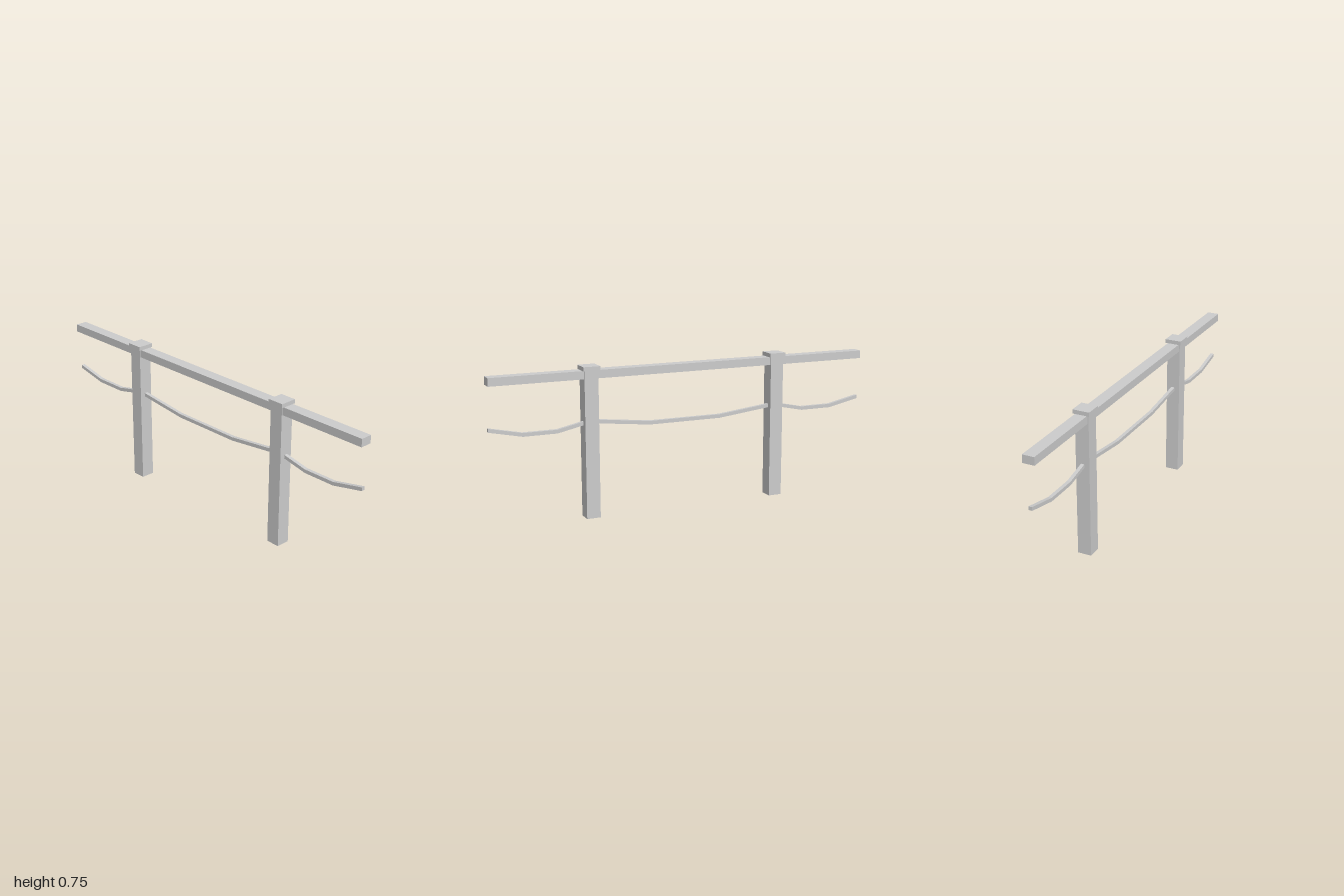
import * as THREE from 'three';

const material = new THREE.MeshStandardMaterial({ color: 0xcccccc, flatShading: true });

function add(parent, name, geometry, x, y, z) {
  const mesh = new THREE.Mesh(geometry, material);
  mesh.name = name;
  mesh.position.set(x, y, z);
  parent.add(mesh);
}

// Square rope hanging between two points, swept as a ribbon outline with depth
function ropeGeometry(from, to, bend) {
  const t = 0.018, high = 0.477, low = 0.442;
  const path = [[from, high], [from + bend, low], [to - bend, low], [to, high]];
  const outline = [
    ...path.map(([x, y]) => new THREE.Vector2(x, y - t / 2)),
    ...path.map(([x, y]) => new THREE.Vector2(x, y + t / 2)).reverse(),
  ];
  return new THREE.ExtrudeGeometry(new THREE.Shape(outline), { depth: t, bevelEnabled: false })
    .translate(0, 0, -t / 2);
}

export function createModel() {
  const fence = new THREE.Group();
  fence.name = 'ropeFence';

  // Square posts with overhanging caps
  for (const x of [-0.5, 0.5]) {
    const side = x > 0 ? 'left' : 'right';
    add(fence, side + 'Post', new THREE.BoxGeometry(0.07, 0.727, 0.07), x, 0.3635, 0);
    add(fence, side + 'PostCap', new THREE.BoxGeometry(0.085, 0.02, 0.085), x, 0.737, 0);
  }

  // Top rail
  add(fence, 'topRail', new THREE.BoxGeometry(2, 0.04, 0.06), 0, 0.707, 0);

  // Sagging ropes: full middle span and a half span on each side
  add(fence, 'middleRope', ropeGeometry(-0.5, 0.5, 0.31), 0, 0, 0);
  add(fence, 'leftRope', ropeGeometry(0.5, 1, 0.165), 0, 0, 0);
  add(fence, 'rightRope', ropeGeometry(-1, -0.5, 0.165), 0, 0, 0);

  return fence;
}
